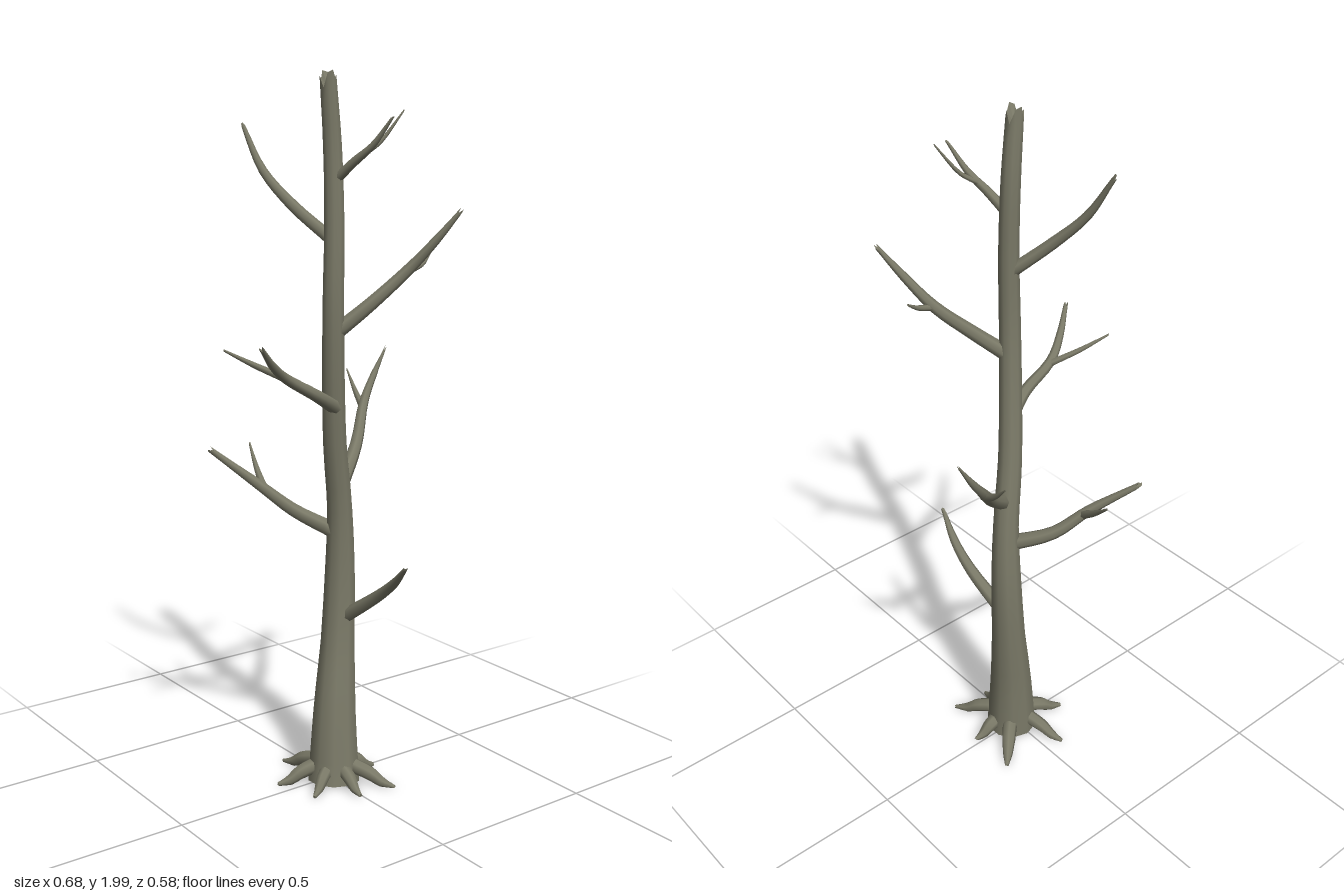
import * as THREE from 'three';
import { mergeVertices } from 'three/addons/utils/BufferGeometryUtils.js';

// Tapered tube through points [x, y, z, radius]; jag = length of the splinters at the broken end
function limbGeometry(points, sides, jag, steps = 4) {
  const curve = new THREE.CatmullRomCurve3(points.map(p => new THREE.Vector3(p[0], p[1], p[2])));
  const last = points.length - 1;
  const n = last * steps;
  const dir = curve.getPoint(1).sub(curve.getPoint(0));
  const a = [Math.abs(dir.x), Math.abs(dir.y), Math.abs(dir.z)];
  const ref = new THREE.Vector3().setComponent(a.indexOf(Math.min(...a)), 1);
  const rings = [];
  for (let i = 0; i <= n; i++) {
    const t = i / n;
    const k = Math.min(last - 1, Math.floor(t * last));
    const r = THREE.MathUtils.lerp(points[k][3], points[k + 1][3], t * last - k);
    const c = curve.getPoint(t);
    const tan = curve.getTangent(t);
    const u = ref.clone().addScaledVector(tan, -ref.dot(tan)).normalize();
    const v = tan.clone().cross(u);
    const ring = [];
    for (let j = 0; j < sides; j++) {
      const ang = (j / sides) * Math.PI * 2;
      const p = c.clone().addScaledVector(u, Math.cos(ang) * r).addScaledVector(v, Math.sin(ang) * r);
      // uneven splinters on the last ring
      if (i === n) p.addScaledVector(tan, jag * [1, -0.3, 0.5, -0.6, 0.8][j % 5]);
      p.y = Math.max(0, p.y);
      ring.push(p);
    }
    rings.push(ring);
  }
  const pos = [];
  const tri = (...vs) => vs.forEach(p => pos.push(p.x, p.y, p.z));
  for (let i = 0; i < n; i++) {
    for (let j = 0; j < sides; j++) {
      const k = (j + 1) % sides;
      const [p, q, s, w] = [rings[i][j], rings[i][k], rings[i + 1][k], rings[i + 1][j]];
      tri(p, q, s);
      tri(p, s, w);
    }
  }
  const wall = new THREE.BufferGeometry();
  wall.setAttribute('position', new THREE.Float32BufferAttribute(pos.splice(0), 3));
  const smooth = mergeVertices(wall, 1e-5);
  smooth.computeVertexNormals();

  // Hollowed broken end and closed start
  const c0 = curve.getPoint(0);
  const c1 = curve.getPoint(1).addScaledVector(curve.getTangent(1), -jag * 0.7);
  for (let j = 0; j < sides; j++) {
    const k = (j + 1) % sides;
    tri(c1, rings[n][j], rings[n][k]);
    tri(c0, rings[0][k], rings[0][j]);
  }
  const caps = new THREE.BufferGeometry();
  caps.setAttribute('position', new THREE.Float32BufferAttribute(pos, 3));
  caps.computeVertexNormals();
  return [smooth, caps];
}

export function createModel() {
  const tree = new THREE.Group();
  tree.name = 'deadTree';
  const bark = new THREE.MeshStandardMaterial({ color: 0x7b7a68 });
  bark.name = 'greyBark';

  const addLimb = (name, points, sides, jag, steps) => {
    const limb = new THREE.Group();
    limb.name = name;
    limbGeometry(points, sides, jag, steps).forEach((g, i) => {
      const mesh = new THREE.Mesh(g, bark);
      mesh.name = name + (i ? 'Ends' : 'Bark');
      limb.add(mesh);
    });
    tree.add(limb);
  };

  // Leaning trunk with a snapped top
  addLimb('trunk', [
    [0.005, 0, 0.01, 0.077], [0.015, 0.2, 0, 0.064], [0.035, 0.4, -0.013, 0.051],
    [0.045, 0.6, -0.016, 0.045], [0.037, 0.8, -0.006, 0.037], [0.006, 1.0, 0.012, 0.034],
    [-0.016, 1.2, 0.035, 0.032], [-0.028, 1.4, 0.051, 0.03], [-0.025, 1.6, 0.051, 0.028],
    [-0.026, 1.8, 0.044, 0.026], [-0.041, 1.965, 0.046, 0.023],
  ], 10, 0.027, 3);

  // Main branches, bottom to top
  const branches = [
    [[0.045, 0.48, 0, 0.022], [0.062, 0.57, 0.13, 0.017], [0.058, 0.63, 0.21, 0.013], [0.04, 0.69, 0.28, 0.006]],
    [[0.03, 0.735, -0.01, 0.024], [-0.05, 0.79, -0.11, 0.019], [-0.13, 0.865, -0.17, 0.015], [-0.222, 0.955, -0.262, 0.008]],
    [[0.03, 0.87, 0.005, 0.023], [0.135, 0.965, -0.06, 0.018], [0.225, 1.07, -0.14, 0.014], [0.28, 1.14, -0.165, 0.01], [0.325, 1.21, -0.17, 0.003]],
    [[-0.005, 1.1, 0.035, 0.021], [-0.1, 1.15, 0.073, 0.017], [-0.2, 1.205, 0.08, 0.014], [-0.27, 1.25, 0.118, 0.011], [-0.333, 1.303, 0.165, 0.006]],
    [[-0.02, 1.31, 0.05, 0.022], [0.06, 1.385, 0.098, 0.019], [0.15, 1.475, 0.145, 0.016], [0.2, 1.555, 0.2, 0.012], [0.242, 1.63, 0.247, 0.006]],
    [[-0.03, 1.56, 0.04, 0.018], [-0.095, 1.645, -0.04, 0.016], [-0.135, 1.735, -0.12, 0.012], [-0.148, 1.85, -0.193, 0.006]],
    [[-0.025, 1.71, 0.05, 0.014], [-0.005, 1.76, 0.11, 0.012], [0.015, 1.8, 0.16, 0.009], [0.036, 1.865, 0.21, 0.004]],
  ];
  branches.forEach((p, i) => addLimb('branch' + (i + 1), p, 7, 0.012));

  // Thin side twigs
  const twigs = [
    [[-0.115, 0.85, -0.16, 0.013], [-0.1, 0.895, -0.22, 0.009], [-0.08, 0.955, -0.287, 0.003]],
    [[0.215, 1.05, -0.13, 0.012], [0.232, 1.09, -0.19, 0.008], [0.244, 1.148, -0.248, 0.002]],
    [[-0.19, 1.2, 0.08, 0.011], [-0.265, 1.24, 0.03, 0.008], [-0.333, 1.28, -0.01, 0.003]],
    [[0.14, 1.47, 0.145, 0.01], [0.2, 1.488, 0.143, 0.007], [0.24, 1.515, 0.129, 0.003]],
    [[0, 1.775, 0.13, 0.008], [0.05, 1.81, 0.148, 0.006], [0.105, 1.888, 0.175, 0.002]],
  ];
  twigs.forEach((p, i) => addLimb('twig' + (i + 1), p, 6, 0.004));

  // Roots spreading from the foot: tip x, tip z, radius
  const roots = [
    [-0.155, -0.042, 0.023], [-0.053, -0.163, 0.022], [0.143, -0.13, 0.023], [0.145, 0.015, 0.024],
    [0.104, 0.168, 0.022], [-0.008, 0.155, 0.021], [-0.118, 0.085, 0.02],
  ];
  roots.forEach(([x, z, r], i) => {
    const at = (f, y, rad) => [0.005 + (x - 0.005) * f, y, 0.01 + (z - 0.01) * f, rad];
    addLimb('root' + (i + 1), [at(0.3, 0.05, r), at(0.6, 0.033, r * 0.9), at(0.8, 0.012, r * 0.65), at(1, 0.004, r * 0.25)], 7, 0.002, 3);
  });

  return tree;
}
